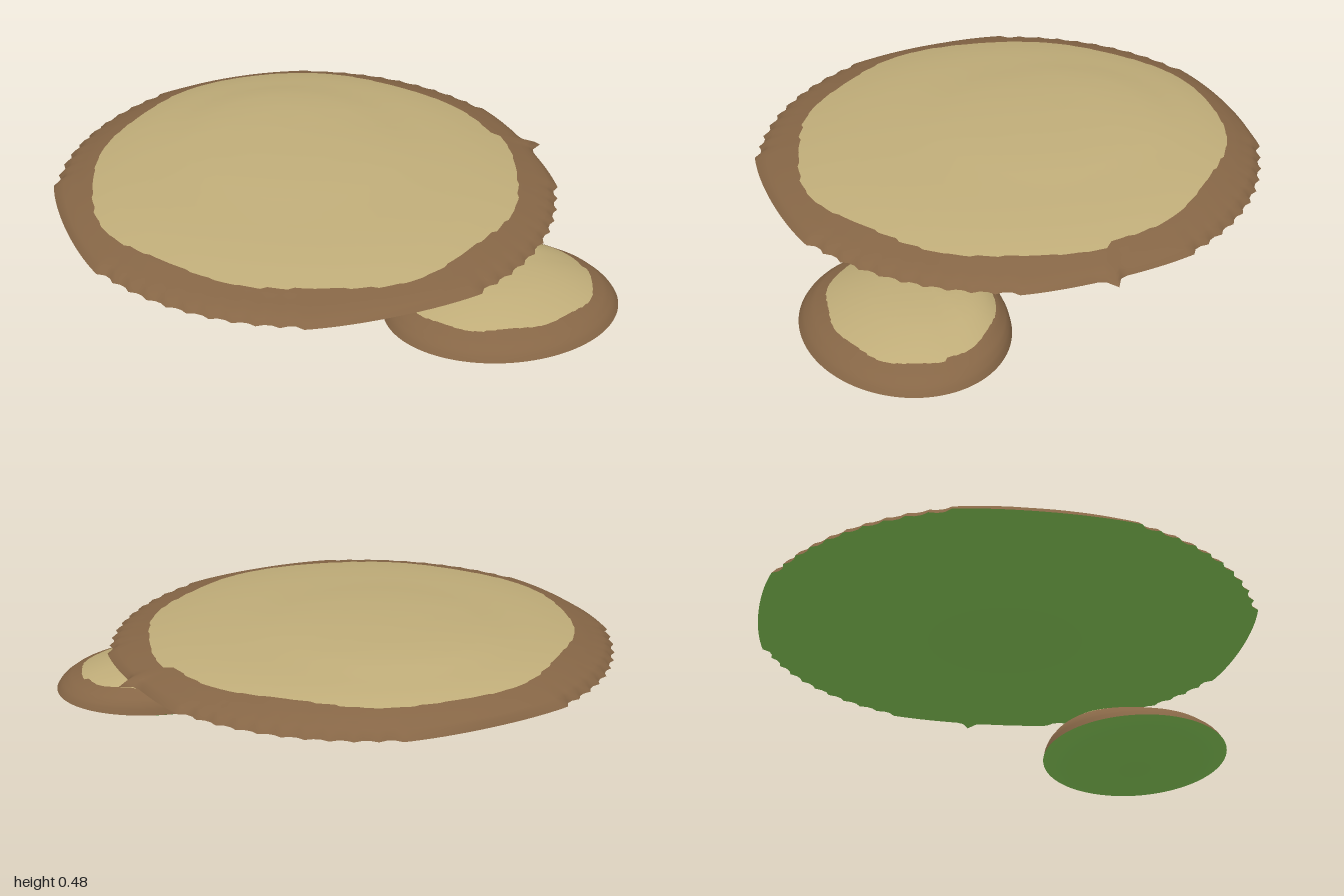
import * as THREE from 'three';

const material = (name, color) => {
  const m = new THREE.MeshStandardMaterial({ color });
  m.name = name;
  return m;
};

// linear lookup in a short list of [s, y] points
function lookup(points, s) {
  for (let i = 1; i < points.length; i++) {
    const [s0, y0] = points[i - 1], [s1, y1] = points[i];
    if (s <= s1) return y0 + (y1 - y0) * (s - s0) / (s1 - s0);
  }
  return points[points.length - 1][1];
}

// closed rings from the centre outwards; point(row, angle, column) gives a position
function ringSurface(rows, columns, point, up) {
  const positions = [], index = [];
  for (let i = 0; i <= rows; i++)
    for (let j = 0; j < columns; j++)
      positions.push(...point(i, j / columns * Math.PI * 2, j));
  for (let i = 0; i < rows; i++)
    for (let j = 0; j < columns; j++) {
      const k = (j + 1) % columns;
      const a = i * columns + j, b = i * columns + k;
      const c = a + columns, d = b + columns;
      if (up) index.push(a, b, c, b, d, c);
      else index.push(a, c, b, b, c, d);
    }
  const g = new THREE.BufferGeometry();
  g.setAttribute('position', new THREE.Float32BufferAttribute(positions, 3));
  g.setIndex(index);
  g.computeVertexNormals();
  return g;
}

// one lens-shaped slab: domed top with a ragged pale cap, brown rim, shallow underside
function makeSlab(name, o, mats) {
  const group = new THREE.Group();
  group.name = name;
  const capRows = 12, rimRows = 10, columns = 216;

  const place = (s, t, y, shift) => {
    const r = s + o.edge(t) * Math.pow(s, 24);
    return [
      o.x + o.rx * r * Math.cos(t),
      y,
      o.z + o.rz * r * Math.sin(t) + shift * (1 - s),
    ];
  };

  // ragged colour border, stepped every few columns
  const border = (t, j) => {
    const step = Math.floor(j / 4);
    const noise = Math.sin(step * 12.9) * 0.5 + Math.sin(step * 5.3 + 1) * 0.5;
    return o.border + o.borderTilt * Math.sin(t)
      - o.borderDiagonal * Math.sin(2 * t) ** 2 + 0.02 * noise;
  };

  const top = ringSurface(capRows + rimRows, columns, (i, t, j) => {
    const b = border(t, j);
    const s = i <= capRows ? b * i / capRows : b + (1 - b) * (i - capRows) / rimRows;
    // the back side is fuller than the front
    const e = Math.pow(s, 1 + o.bulge * Math.max(0, -Math.sin(t)) ** 2);
    return place(s, t, lookup(o.profile, e), o.shift);
  }, true);
  const split = capRows * columns * 6;
  top.addGroup(0, split, 0);
  top.addGroup(split, rimRows * columns * 6, 1);
  const topMesh = new THREE.Mesh(top, [mats.cap, mats.rim]);
  topMesh.name = name + 'Top';

  const rimY = o.profile[o.profile.length - 1][1];
  const under = ringSurface(12, columns, (i, t) => {
    const s = Math.sin(i / 12 * Math.PI / 2);
    return place(s, t, rimY - o.depth * (1 - Math.pow(s, 3.4)), 0);
  }, false);
  const underMesh = new THREE.Mesh(under, mats.under);
  underMesh.name = name + 'Underside';

  group.add(topMesh, underMesh);
  return group;
}

export function createModel() {
  const mats = {
    cap: material('pale tan', 0xc0ad79),
    rim: material('earth brown', 0x866646),
    under: material('moss green', 0x8bd05a),
  };
  const model = new THREE.Group();
  model.name = 'stackedSlabs';

  // large upper slab: scalloped on the diagonals, one small point on its left edge
  model.add(makeSlab('largeSlab', {
    x: -0.035, z: -0.028, rx: 0.965, rz: 0.972, shift: -0.24, bulge: 0.35,
    depth: 0.053, border: 0.872, borderTilt: 0.03, borderDiagonal: 0.025,
    profile: [[0, 0.48], [0.2, 0.475], [0.38, 0.463], [0.5, 0.447], [0.6, 0.438],
      [0.72, 0.424], [0.8, 0.411], [0.88, 0.394], [0.95, 0.374], [0.985, 0.359], [1, 0.338]],
    edge: (t) => {
      const d = Math.abs(Math.sin(2 * t));
      const scallop = d < 0.68 ? 0.032 * (d / 0.68) ** 2 : 0.013 + 0.009 * Math.cos(72 * t);
      const u = Math.atan2(Math.sin(t), Math.cos(t));
      return scallop + 0.057 * Math.exp(-((u / 0.022) ** 2));
    },
  }, mats));

  // small lower slab
  model.add(makeSlab('smallSlab', {
    x: 0.527, z: 0.618, rx: 0.462, rz: 0.382, shift: -0.1, bulge: 0.9,
    depth: 0.056, border: 0.79, borderTilt: 0, borderDiagonal: 0,
    profile: [[0, 0.2], [0.15, 0.198], [0.3, 0.192], [0.45, 0.181], [0.6, 0.163],
      [0.75, 0.14], [0.9, 0.109], [0.97, 0.083], [1, 0.06]],
    edge: () => 0,
  }, mats));

  return model;
}
